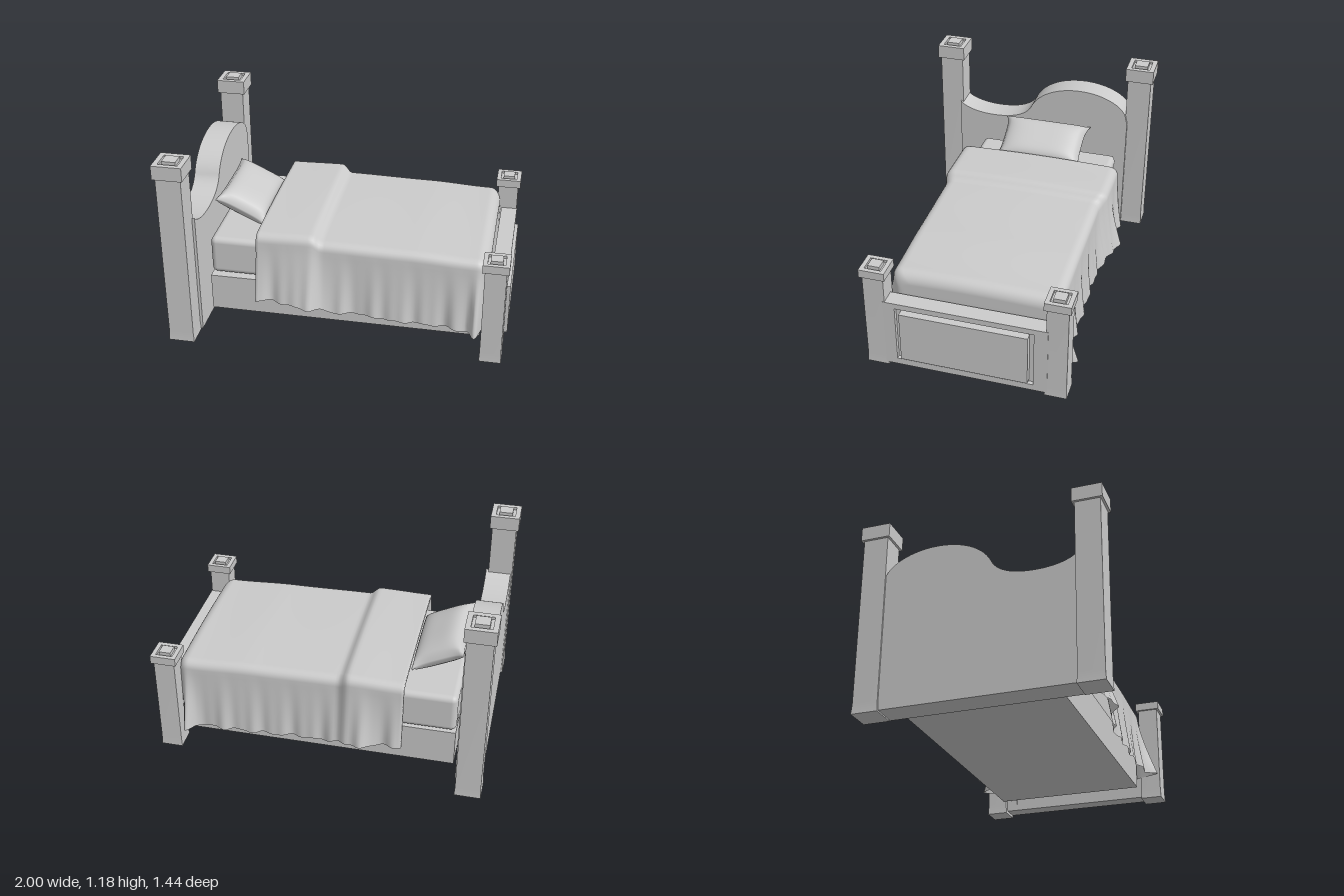
import * as THREE from 'three';
import { mergeVertices, toCreasedNormals } from 'three/addons/utils/BufferGeometryUtils.js';
import { RoundedBoxGeometry } from 'three/addons/geometries/RoundedBoxGeometry.js';

const grey = new THREE.MeshStandardMaterial({ color: 0xcccccc });
const cloth = new THREE.MeshStandardMaterial({ color: 0xcccccc, side: THREE.DoubleSide });

function add(parent, name, geometry, x = 0, y = 0, z = 0, material = grey) {
  const mesh = new THREE.Mesh(geometry, material);
  mesh.name = name;
  mesh.position.set(x, y, z);
  parent.add(mesh);
  return mesh;
}

// box given by its min and max on each axis
function addBox(parent, name, [x0, x1], [y0, y1], [z0, z1]) {
  return add(parent, name, new THREE.BoxGeometry(x1 - x0, y1 - y0, z1 - z0),
    (x0 + x1) / 2, (y0 + y1) / 2, (z0 + z1) / 2);
}

function rect(path, x0, y0, x1, y1) {
  return path.moveTo(x0, y0).lineTo(x1, y0).lineTo(x1, y1).lineTo(x0, y1).closePath();
}

// board drawn in the (z, y) plane, thickened towards -x
function boardGeometry(shape, depth) {
  const g = new THREE.ExtrudeGeometry(shape, { depth, bevelEnabled: false, curveSegments: 24 });
  return toCreasedNormals(g.rotateY(-Math.PI / 2), 0.5);
}

// square post with flared foot and a cap holding a raised centre block
function makePost(name, x, z, y0, capY, topY, width, capWidth) {
  const post = new THREE.Group();
  post.name = name;
  post.position.set(x, 0, z);
  const shaft = new THREE.BoxGeometry(width, capY - y0, width, 1, 2, 1).translate(0, (capY + y0) / 2, 0);
  const p = shaft.attributes.position;
  for (let i = 0; i < p.count; i++) {
    const y = p.getY(i);
    if (y < y0 + 0.001) p.setXYZ(i, p.getX(i) * 1.05, y, p.getZ(i) * 1.05);
    else if (y < capY - 0.001) p.setY(i, y0 + 0.06);
  }
  shaft.computeVertexNormals();
  add(post, 'shaft', shaft);
  const h = capWidth / 2, q = h * 0.66, k = h * 0.46, groove = 0.015;
  addBox(post, 'cap', [-h, h], [capY, topY - groove], [-h, h]);
  const rim = rect(new THREE.Shape(), -h, -h, h, h);
  rim.holes.push(rect(new THREE.Path(), -q, -q, q, q));
  add(post, 'capRim', new THREE.ExtrudeGeometry(rim, { depth: groove, bevelEnabled: false })
    .rotateX(-Math.PI / 2), 0, topY - groove, 0);
  addBox(post, 'capBlock', [-k, k], [topY - groove, topY + 0.01], [-k, k]);
  return post;
}

// smooth lookup in a short list of [x, value]
function lookup(table, x) {
  if (x <= table[0][0]) return table[0][1];
  for (let i = 1; i < table.length; i++) {
    const [x0, a] = table[i - 1], [x1, b] = table[i];
    if (x <= x1) return a + (b - a) * THREE.MathUtils.smoothstep(x, x0, x1);
  }
  return table[table.length - 1][1];
}

function blanketGeometry() {
  const topHeight = [[-0.5, 0.648], [-0.17, 0.655], [-0.11, 0.617], [0.4, 0.61], [0.8, 0.595]];
  const hem = [[-0.5, 0.23], [-0.2, 0.22], [0, 0.175], [0.4, 0.155], [0.65, 0.15], [0.83, 0.14]];
  const frontFlare = [[-0.5, 0.07], [-0.38, 0.05], [-0.2, 0.1], [-0.05, 0.055], [0.12, 0.025], [0.3, 0.04],
    [0.6, 0.03], [0.72, 0.05], [0.76, 0.04], [0.815, 0.12], [0.86, 0.01]];
  const backFlare = [[-0.5, 0.04], [-0.38, 0.03], [-0.25, 0.075], [-0.1, 0.05], [0.1, 0.025], [0.6, 0.03],
    [0.76, 0.02], [0.815, 0.1], [0.86, 0.01]];
  const r = 0.07, end = 0.87;

  // rows: folded head hem, long run, rounded foot edge, drop at the foot
  const rows = [{ x: -0.42, shrink: 0.035, fall: 0 }, { x: -0.49, shrink: 0.03, fall: 0 }, { x: -0.5, shrink: 0.012, fall: 0 }];
  for (let i = 0; i <= 80; i++) rows.push({ x: -0.497 + (end - r + 0.497) * i / 80, shrink: 0, fall: 0 });
  for (let i = 1; i <= 10; i++) {
    const a = i / 10 * Math.PI / 2;
    rows.push({ x: end - r + r * Math.sin(a), shrink: r * (1 - Math.cos(a)), fall: 0 });
  }
  for (let i = 1; i <= 5; i++) rows.push({ x: end, shrink: r, fall: i / 5 });

  const pos = [], index = [];
  let cols = 0;
  for (const { x, shrink, fall } of rows) {
    const hemY = lookup(hem, x) + 0.004 * Math.sin(x * 41);
    const yTop = THREE.MathUtils.lerp(lookup(topHeight, x) - shrink, hemY + 0.08, fall);
    const wide = 0.022 * (1 - THREE.MathUtils.smoothstep(x, -0.18, -0.1));
    const side = (s) => {
      const edge = (s > 0 ? 0.44 + wide * 0.7 : 0.55 + wide * 1.6) - shrink;
      const flare = lookup(s > 0 ? frontFlare : backFlare, x);
      const pts = [], c = 0.06;
      for (let k = 0; k <= 12; k++) { // hanging side, folds grow downwards
        const d = 1 - k / 12;
        const fold = x > 0.8 ? 0 : 0.009 * Math.sin(x * 36 + s) + 0.005 * Math.sin(x * 67);
        pts.push([s * (edge + Math.pow(d, 1.3) * (flare + fold)), hemY + (yTop - c - hemY) * (1 - d)]);
      }
      for (let k = 1; k <= 6; k++) { // rounded upper edge
        const a = k / 6 * Math.PI / 2;
        pts.push([s * (edge - c * (1 - Math.cos(a))), yTop - c + c * Math.sin(a) - 0.008 * k / 6]);
      }
      return pts;
    };
    const front = side(1), back = side(-1).reverse();
    const zF = front[front.length - 1][0], zB = back[0][0], top = [];
    for (let k = 1; k < 12; k++) {
      const t = k / 12;
      top.push([zF + (zB - zF) * t, yTop - 0.008 + 0.008 * Math.sin(t * Math.PI)]);
    }
    const section = [...front, ...top, ...back];
    cols = section.length;
    for (const [z, y] of section) pos.push(x, y, z);
  }
  for (let i = 0; i < rows.length - 1; i++) for (let j = 0; j < cols - 1; j++) {
    const a = i * cols + j, b = a + cols;
    index.push(a, b, a + 1, b, b + 1, a + 1);
  }
  const g = new THREE.BufferGeometry();
  g.setAttribute('position', new THREE.Float32BufferAttribute(pos, 3));
  g.setIndex(index);
  g.computeVertexNormals();
  return g;
}

// cushion with drawn-out corners and pinched seams
function pillowGeometry(width, thick, length) {
  let g = new THREE.BoxGeometry(2, 2, 2, 24, 1, 32);
  const p = g.attributes.position;
  for (let i = 0; i < p.count; i++) {
    const u = p.getX(i), v = p.getZ(i), s = Math.sign(p.getY(i));
    const puff = Math.pow((1 - u ** 4) * (1 - v ** 4), 0.55);
    p.setXYZ(i, u * width / 2 * (0.93 + 0.07 * v ** 4), s * (0.006 + thick / 2 * puff),
      v * length / 2 * (0.91 + 0.09 * u ** 4));
  }
  g.deleteAttribute('uv');
  g.deleteAttribute('normal');
  g = mergeVertices(g, 1e-4);
  g.computeVertexNormals();
  return g;
}

export function createModel() {
  const bed = new THREE.Group();
  bed.name = 'bed';

  // posts
  for (const s of [1, -1]) {
    const side = s > 0 ? 'Front' : 'Back';
    bed.add(makePost('headPost' + side, -0.91, s * 0.63, 0.012, 1.09, 1.175, 0.148, 0.176));
    bed.add(makePost('footPost' + side, 0.915, s > 0 ? 0.5 : -0.56, 0, 0.61, 0.66, 0.124, 0.152));
  }

  // headboard with a swept, lopsided top
  const head = new THREE.Shape();
  head.moveTo(-0.57, 0.02).lineTo(0.57, 0.02).lineTo(0.57, 0.785);
  head.bezierCurveTo(0.52, 0.735, 0.42, 0.717, 0.33, 0.717);
  head.bezierCurveTo(0.22, 0.717, 0.12, 0.74, 0.08, 0.81);
  head.bezierCurveTo(0.03, 0.92, -0.1, 0.976, -0.25, 0.976);
  head.bezierCurveTo(-0.4, 0.976, -0.53, 0.91, -0.555, 0.84);
  head.lineTo(-0.57, 0.78).closePath();
  add(bed, 'headboard', boardGeometry(head, 0.155), -0.82);

  // footboard with a grooved, raised panel
  const foot = rect(new THREE.Shape(), -0.51, 0.018, 0.45, 0.455);
  foot.holes.push(rect(new THREE.Path(), -0.43, 0.058, 0.38, 0.42));
  add(bed, 'footboard', boardGeometry(foot, 0.1), 0.98);
  addBox(bed, 'footboardBack', [0.885, 0.955], [0.05, 0.43], [-0.44, 0.39]);
  addBox(bed, 'footboardPanel', [0.95, 0.998], [0.076, 0.398], [-0.4, 0.35]);

  // base and mattress
  addBox(bed, 'base', [-0.8, 0.84], [0.075, 0.305], [-0.51, 0.413]);
  add(bed, 'mattress', new RoundedBoxGeometry(1.63, 0.24, 0.905, 4, 0.035), 0.015, 0.433, -0.06);

  // bedding
  add(bed, 'blanket', blanketGeometry(), 0, 0, 0, cloth);
  const pillow = add(bed, 'pillow', pillowGeometry(0.33, 0.14, 0.57), -0.65, 0.66, -0.048);
  pillow.rotation.z = -0.45;

  return bed;
}
